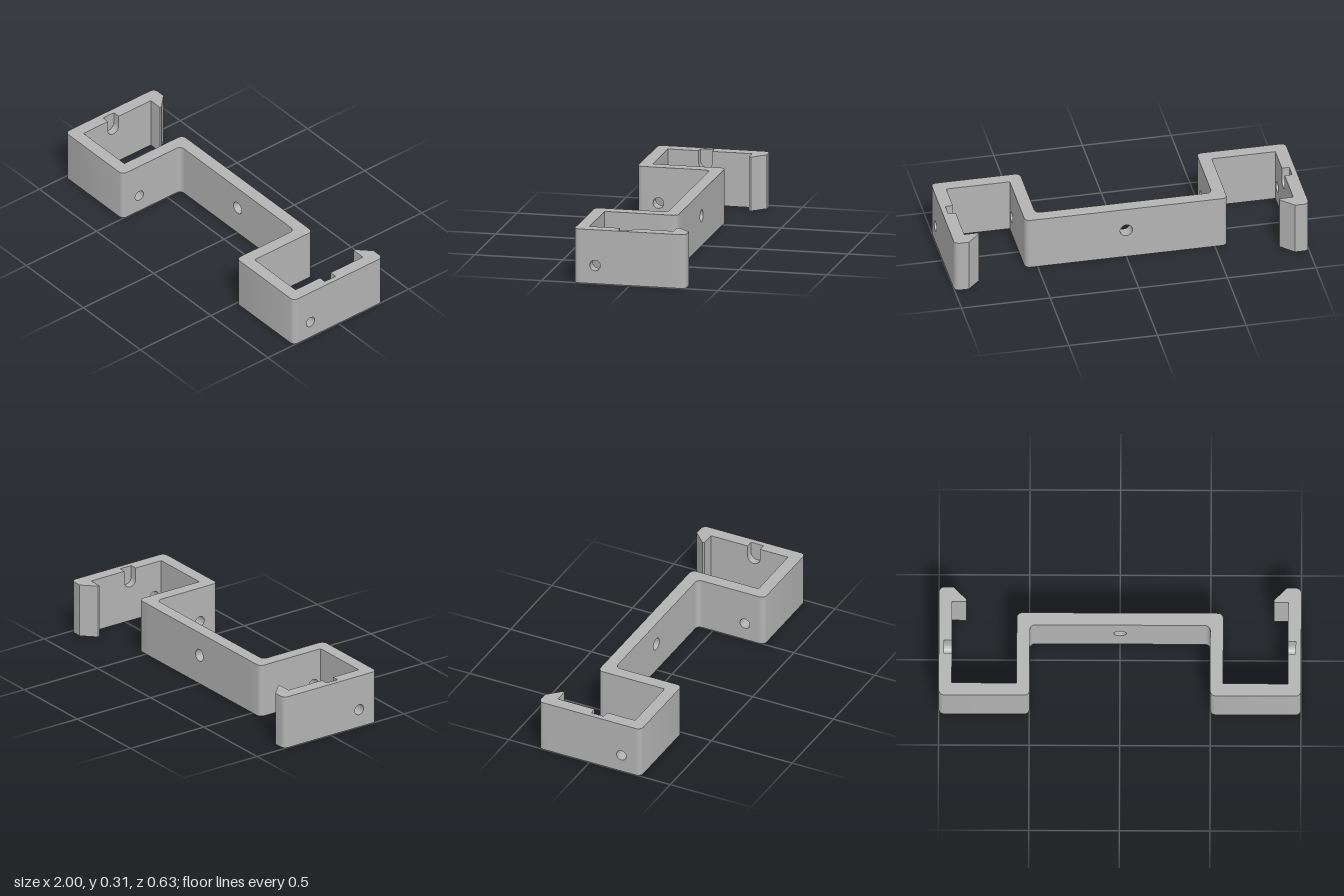
import * as THREE from 'three';
import { toCreasedNormals } from 'three/addons/utils/BufferGeometryUtils.js';

const H = 0.306;          // height of the bracket
const T = 0.072;          // wall thickness
const FRONT = 0.317;      // front and back extent
const BACK = -0.168;      // outer face of the rear wall
const R = 0.03;           // corner radius

const grey = new THREE.MeshStandardMaterial({ color: 0xb3b3b3 });
grey.name = 'plain grey';

// Closed outline from [x, y, radius] corners
function outline(points) {
  const shape = new THREE.Shape();
  const n = points.length;
  const V = (p) => new THREE.Vector2(p[0], p[1]);
  points.forEach((p, i) => {
    const c = V(p), r = p[2] || 0;
    const towards = (q, d) => c.clone().add(V(q).sub(c).setLength(d));
    const prev = points[(i + n - 1) % n], next = points[(i + 1) % n];
    const a = r ? towards(prev, r) : c;
    if (i === 0) shape.moveTo(a.x, a.y); else shape.lineTo(a.x, a.y);
    if (r) {
      const k = r * 0.4477, b = towards(next, r);
      const ca = towards(prev, k), cb = towards(next, k);
      shape.bezierCurveTo(ca.x, ca.y, cb.x, cb.y, b.x, b.y);
    }
  });
  shape.closePath();
  return shape;
}

function addHole(shape, x, y, r) {
  const hole = new THREE.Path();
  hole.absarc(x, y, r, 0, Math.PI * 2, true);
  shape.holes.push(hole);
  return shape;
}

const extrude = (shape, depth) =>
  new THREE.ExtrudeGeometry(shape, { depth, bevelEnabled: false, curveSegments: 16 });

function part(name, geometry) {
  const mesh = new THREE.Mesh(toCreasedNormals(geometry, 0.6), grey);
  mesh.name = name;
  return mesh;
}

// Upright prism over a plan of [x, z, radius] corners; s mirrors in x
function prism(name, plan, s) {
  const shape = outline(plan.map(([x, z, r]) => [x * s, -z, r]));
  return part(name, extrude(shape, H).rotateX(-Math.PI / 2));
}

// Plate facing sideways, outline in (z, y), spanning x0..x1; s mirrors in x
function sidePlate(name, shape, x0, x1, s) {
  const geo = extrude(shape, x1 - x0).rotateY(-Math.PI / 2);
  return part(name, geo.translate(s > 0 ? x1 : -x0, 0, 0));
}

const rect = (a, b) => outline([[a, 0], [b, 0], [b, H], [a, H]]);

// Hooked clip and step on one side
function createArm(s) {
  const arm = new THREE.Group();
  arm.name = s > 0 ? 'leftArm' : 'rightArm';
  const zHook = -0.233, zFront = FRONT - T, zRear = BACK + T + R;
  const holeZ = 0.197, holeY = 0.103, holeR = 0.03;

  // Outer wall: outer skin, and inner skin with a round-bottomed notch
  arm.add(sidePlate('outerWall', addHole(rect(zHook, zFront), holeZ, holeY, holeR), 0.97, 1, s));
  const notchZ = 0.033, notchR = 0.038, notchY = 0.24;
  const notched = new THREE.Shape();
  notched.moveTo(zHook, 0);
  notched.lineTo(zFront, 0);
  notched.lineTo(zFront, H);
  notched.lineTo(notchZ + notchR, H);
  notched.lineTo(notchZ + notchR, notchY);
  notched.absarc(notchZ, notchY, notchR, 0, -Math.PI, true);
  notched.lineTo(notchZ - notchR, H);
  notched.lineTo(zHook, H);
  notched.closePath();
  arm.add(sidePlate('notchedInnerSkin', addHole(notched, holeZ, holeY, holeR), 1 - T, 0.97, s));

  // Snap hook at the back end
  arm.add(prism('snapHook', [
    [1, zHook], [1, -FRONT, R], [0.92, -FRONT], [0.848, -0.245], [0.848, zHook],
  ], s));

  // Front wall with both rounded front corners
  arm.add(prism('frontWall', [
    [0.498, zFront], [0.498, FRONT, R], [1, FRONT, R], [1, zFront],
  ], s));

  // Inner wall and its filleted corner to the rear wall
  arm.add(sidePlate('innerWall', addHole(rect(zRear, zFront), holeZ, holeY, holeR), 0.498, 0.57, s));
  arm.add(prism('rearCorner', [
    [0.57, BACK, R], [0.57, zRear], [0.498, zRear],
    [0.498, BACK + T, R * 0.999], [0.468, BACK + T], [0.468, BACK],
  ], s));
  return arm;
}

export function createModel() {
  const model = new THREE.Group();
  model.name = 'clipBracket';
  // Rear wall with the central screw hole
  const rear = addHole(rect(-0.468, 0.468), 0, 0.17, 0.035);
  model.add(part('rearWall', extrude(rear, T).translate(0, 0, BACK)));
  model.add(createArm(1), createArm(-1));
  return model;
}
